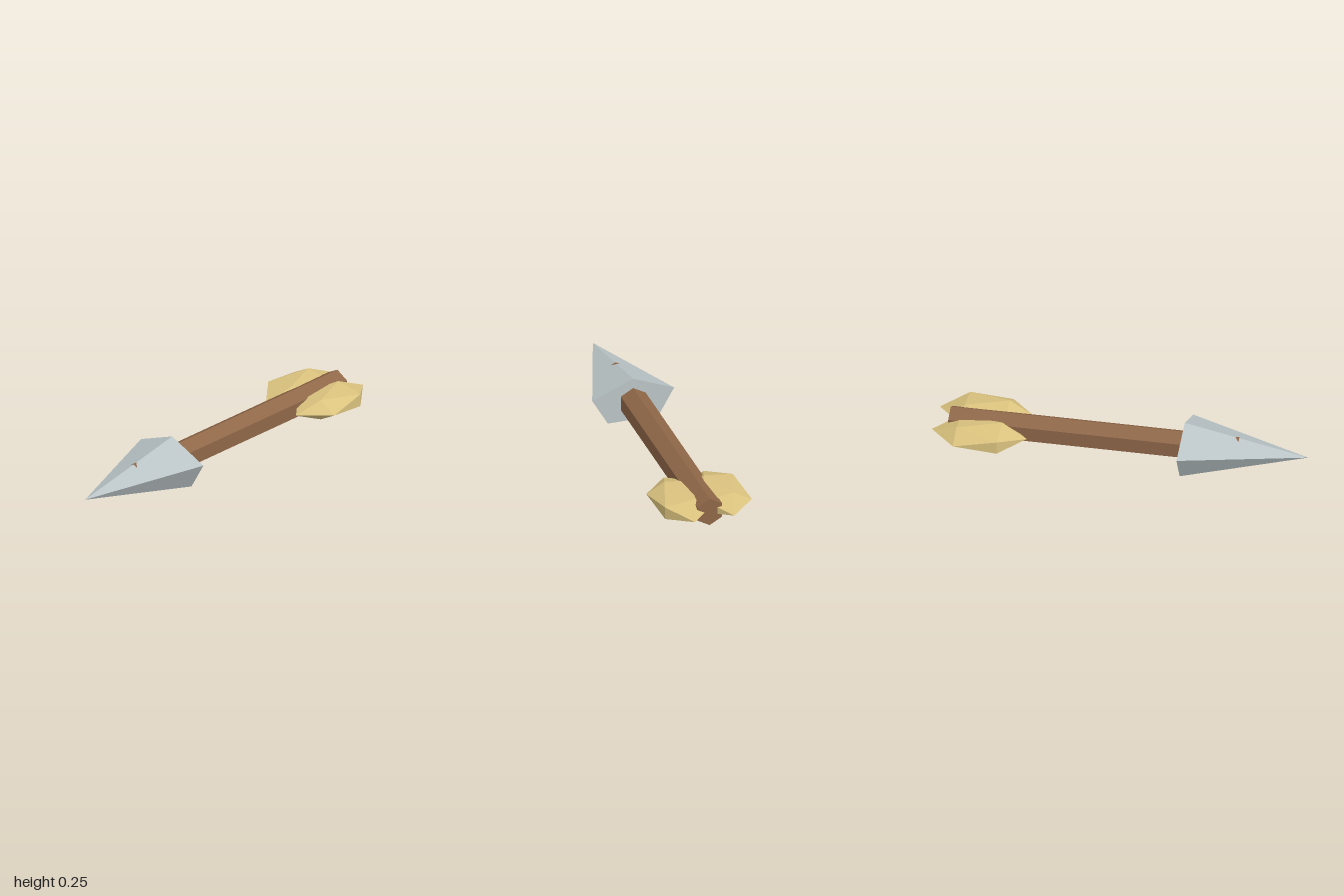
import * as THREE from 'three';

const material = (name, color) => {
  const m = new THREE.MeshStandardMaterial({ color, flatShading: true });
  m.name = name;
  return m;
};

export function createModel() {
  const group = new THREE.Group();
  group.name = 'arrow';
  const wood = material('brown wood', 0x8f6748);
  const steel = material('grey steel', 0xbac4c6);
  const feather = material('tan feather', 0xdac27e);
  const axisY = 0.111;

  const add = (name, geometry, mat, x, z) => {
    const mesh = new THREE.Mesh(geometry, mat);
    mesh.name = name;
    mesh.position.set(x, axisY, z);
    group.add(mesh);
  };

  // Hexagonal shaft with a ridge on top, its front corners piercing the head
  const shaft = new THREE.CylinderGeometry(0.08, 0.08, 1.55, 6).rotateX(Math.PI / 2);
  add('shaft', shaft, wood, 0, -0.145);

  // Flattened five-sided head, closed at the back
  const head = new THREE.ConeGeometry(1, 0.663, 5, 1, false, Math.PI)
    .rotateX(Math.PI / 2)
    .scale(0.24, 0.136, 1);
  add('arrowHead', head, steel, 0, 0.6685);

  // Faceted fletching: an icosahedron with its poles along z, flattened
  const phi = (1 + Math.sqrt(5)) / 2;
  const fletching = new THREE.IcosahedronGeometry(1, 0)
    .rotateX(Math.atan(1 / phi))
    .rotateZ(Math.PI / 2)
    .scale(0.162, 0.0665, 0.255);
  add('leftFletching', fletching, feather, 0.11, -0.745);
  add('rightFletching', fletching, feather, -0.11, -0.745);

  return group;
}
